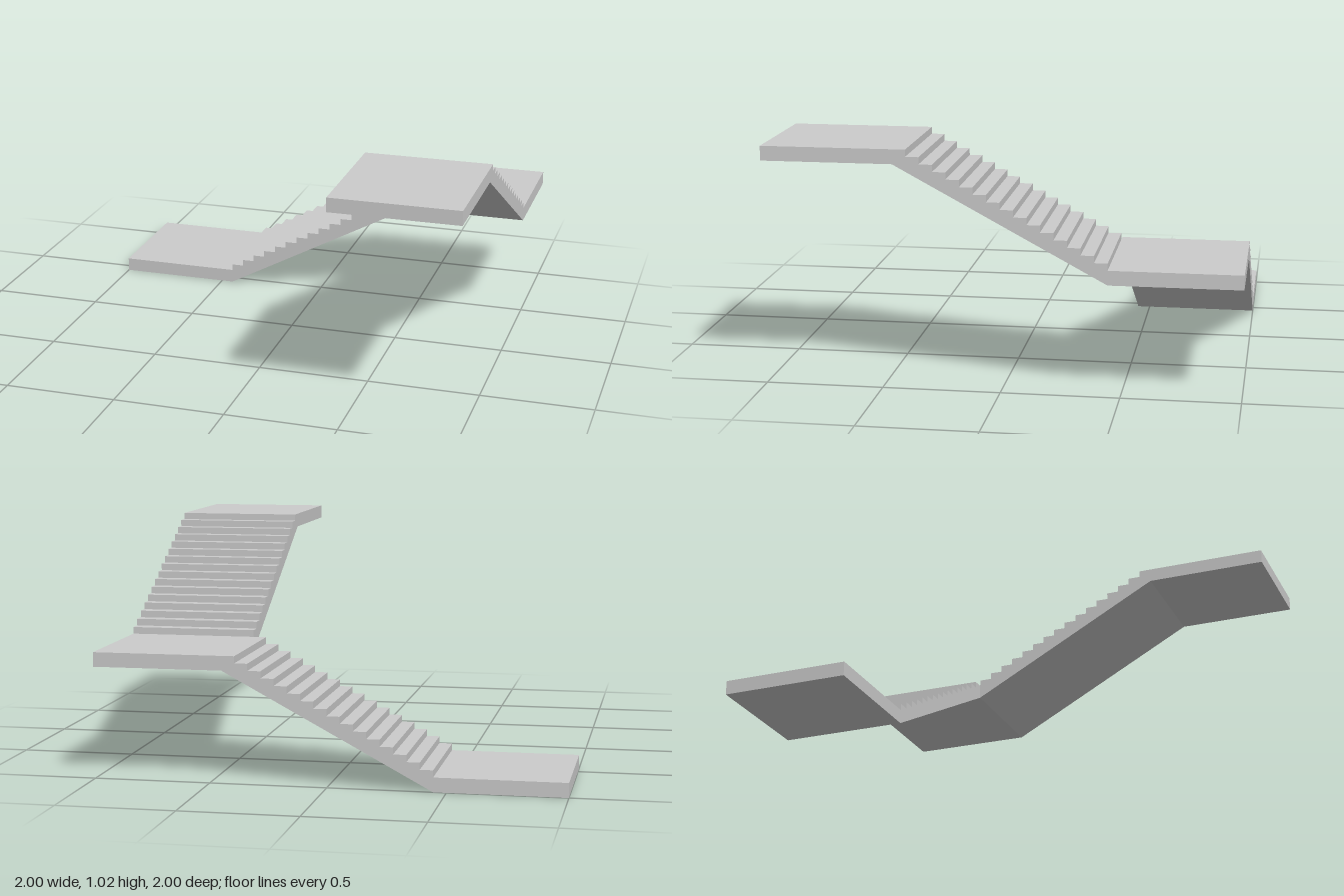
import * as THREE from 'three';

const HALF = 0.445;          // half the horizontal run of a flight
const WIDTH = 1 - HALF;      // width of flights and landings
const SLAB = 0.062;          // slab thickness
const RISE = 0.478;          // height gained per flight
const STEPS = 16;

const material = new THREE.MeshStandardMaterial({ color: 0xcccccc, flatShading: true });

// Square landing slab, with its underside at y
function landing(name, x, y, z) {
  const mesh = new THREE.Mesh(new THREE.BoxGeometry(WIDTH, SLAB, WIDTH), material);
  mesh.name = name;
  mesh.position.set(x, y + SLAB / 2, z);
  return mesh;
}

// Stepped slab climbing along +x with a sloping underside, extruded along +z
function flight(name) {
  const shape = new THREE.Shape();
  const tread = (2 * HALF) / STEPS;
  const riser = RISE / STEPS;
  shape.moveTo(-HALF, 0);
  shape.lineTo(HALF, RISE);
  shape.lineTo(HALF, RISE + SLAB);
  for (let i = STEPS - 1; i >= 0; i--) {
    const x = -HALF + i * tread;
    shape.lineTo(x, SLAB + (i + 1) * riser);
    if (i > 0) shape.lineTo(x, SLAB + i * riser);
  }
  const geometry = new THREE.ExtrudeGeometry(shape, { depth: WIDTH, bevelEnabled: false });
  const mesh = new THREE.Mesh(geometry, material);
  mesh.name = name;
  return mesh;
}

export function createModel() {
  const stairs = new THREE.Group();
  stairs.name = 'cornerStaircase';
  const c = 1 - WIDTH / 2;

  // Landings at the foot, the corner and the head
  stairs.add(
    landing('lowerLanding', -c, 0, -c),
    landing('cornerLanding', c, RISE, -c),
    landing('upperLanding', c, 2 * RISE, c)
  );

  // Lower flight climbs toward +x along the back
  const lower = flight('lowerFlight');
  lower.position.z = -1;

  // Upper flight turns the corner and climbs toward +z
  const upper = flight('upperFlight');
  upper.rotation.y = -Math.PI / 2;
  upper.position.set(1, RISE, 0);

  stairs.add(lower, upper);
  return stairs;
}
